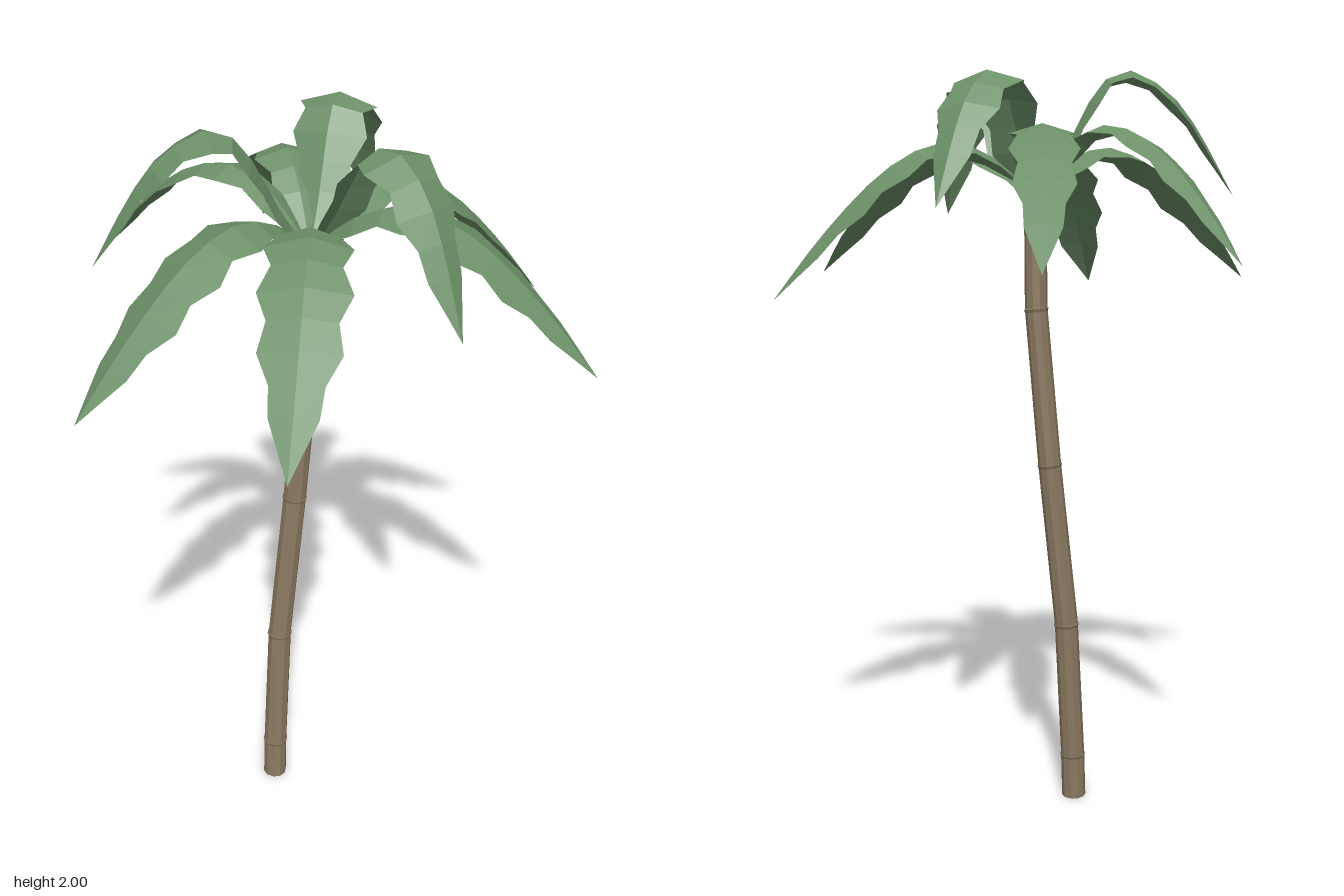
import * as THREE from 'three';

const bark = new THREE.MeshStandardMaterial({ color: 0x8c7a62, flatShading: true });
bark.name = 'bark brown';
const leaf = new THREE.MeshStandardMaterial({ color: 0x6c9068, flatShading: true, side: THREE.DoubleSide });
leaf.name = 'leaf green';

const UP = new THREE.Vector3(0, 1, 0);
const CROWN = new THREE.Vector3(-0.005, 1.67, 0.03);

// Spine profiles: [fraction of reach, height], height 0 = crown, 1 = peak, then down to -1 = tip
const LOW = [[0, 0], [0.1, 0.5], [0.2, 0.82], [0.33, 1], [0.47, 0.88], [0.6, 0.59], [0.73, 0.16], [0.86, -0.36], [1, -1]];
const HIGH = [[0, 0], [0.12, 0.27], [0.22, 0.58], [0.34, 0.9], [0.46, 1], [0.6, 0.83], [0.73, 0.48], [0.86, -0.15], [1, -1]];

// Half widths from base to tip, giving the notched outline
const WIDTHS = [0.03, 0.045, 0.08, 0.07, 0.103, 0.08, 0.108, 0.08, 0.095, 0.062, 0.056, 0.028, 0];

// Fronds: [tip x, tip y, tip z, peak y, profile, width scale, sideways bend]
const FRONDS = [
  [0.685, 1.415, 0.04, 1.81, LOW, 1.08, 0.018],
  [0.19, 1.5, -0.59, 1.85, LOW, 0.8, 0.015],
  [-0.32, 1.51, -0.55, 1.85, LOW, 0.65, 0.027],
  [-0.685, 1.445, 0.17, 1.805, LOW, 0.95, 0.022],
  [-0.37, 1.42, 0.585, 1.81, LOW, 1.0, 0.015],
  [0.455, 1.46, 0.585, 1.81, LOW, 0.92, 0.01],
  [0.36, 1.645, -0.33, 1.98, HIGH, 0.9, 0],
  [-0.505, 1.675, -0.12, 2.0, HIGH, 0.78, 0.045],
  [0.09, 1.625, 0.545, 1.985, HIGH, 0.9, 0.03],
];

// Arched leaf with a raised midrib and notched edges
function makeFrond([tx, ty, tz, peak, profile, scale, bend]) {
  const reach = new THREE.Vector3(tx - CROWN.x, 0, tz - CROWN.z);
  const side = new THREE.Vector3().crossVectors(UP, reach).normalize();
  let passedPeak = false;
  const points = profile.map(([f, h]) => {
    const y = passedPeak
      ? THREE.MathUtils.lerp(ty, peak, (h + 1) / 2)
      : THREE.MathUtils.lerp(CROWN.y, peak, h);
    if (h === 1) passedPeak = true;
    return new THREE.Vector3(CROWN.x, y, CROWN.z)
      .addScaledVector(reach, f)
      .addScaledVector(side, bend * Math.sin(Math.PI * f));
  });
  const spine = new THREE.CatmullRomCurve3(points);
  const positions = [];
  const index = [];
  const last = WIDTHS.length - 1;
  WIDTHS.forEach((width, i) => {
    const w = width * scale;
    const c = spine.getPointAt(i / last);
    const normal = new THREE.Vector3().crossVectors(spine.getTangentAt(i / last), side).normalize();
    for (const s of [1, 0, -1]) {
      const p = c.clone().addScaledVector(side, s * w).addScaledVector(normal, -Math.abs(s) * w * 0.3);
      positions.push(p.x, p.y, p.z);
    }
    if (i < last) {
      const a = i * 3;
      const b = a + 3;
      index.push(a, a + 1, b + 1, a, b + 1, b);
      index.push(a + 1, a + 2, b + 2, a + 1, b + 2, b + 1);
    }
  });
  const geometry = new THREE.BufferGeometry();
  geometry.setAttribute('position', new THREE.Float32BufferAttribute(positions, 3));
  geometry.setIndex(index);
  geometry.computeVertexNormals();
  return new THREE.Mesh(geometry, leaf);
}

// Tapered cylinder standing between two points
function makeLog(from, to, r0, r1, name) {
  const axis = to.clone().sub(from);
  const mesh = new THREE.Mesh(new THREE.CylinderGeometry(r1, r0, axis.length(), 10), bark);
  mesh.position.copy(from).addScaledVector(axis, 0.5);
  mesh.quaternion.setFromUnitVectors(UP, axis.normalize());
  mesh.name = name;
  return mesh;
}

export function createModel() {
  const model = new THREE.Group();
  model.name = 'palmTree';

  // Leaning trunk in five sections with a thin lip at each joint
  const trunk = new THREE.Group();
  trunk.name = 'trunk';
  const joints = [
    [-0.119, 0, 0.023], [-0.114, 0.125, 0.02], [-0.09, 0.51, 0.01],
    [-0.042, 0.96, 0.015], [-0.008, 1.38, 0.028], [-0.006, 1.662, 0.03],
  ].map((p) => new THREE.Vector3(...p));
  const radius = (y) => 0.033 - 0.002 * y;
  for (let i = 0; i < joints.length - 1; i++) {
    const a = joints[i];
    const b = joints[i + 1];
    trunk.add(makeLog(a, b, radius(a.y), radius(b.y), 'trunkSection' + (i + 1)));
    if (i < joints.length - 2) {
      const below = b.clone().lerp(a, 0.008 / a.distanceTo(b));
      trunk.add(makeLog(below, b, radius(b.y), radius(b.y) + 0.003, 'trunkLip' + (i + 1)));
    }
  }
  model.add(trunk);

  // Crown of arching fronds
  const crown = new THREE.Group();
  crown.name = 'crown';
  FRONDS.forEach((spec, i) => {
    const frond = makeFrond(spec);
    frond.name = (spec[4] === HIGH ? 'upperFrond' : 'lowerFrond') + (i + 1);
    crown.add(frond);
  });
  model.add(crown);
  return model;
}
